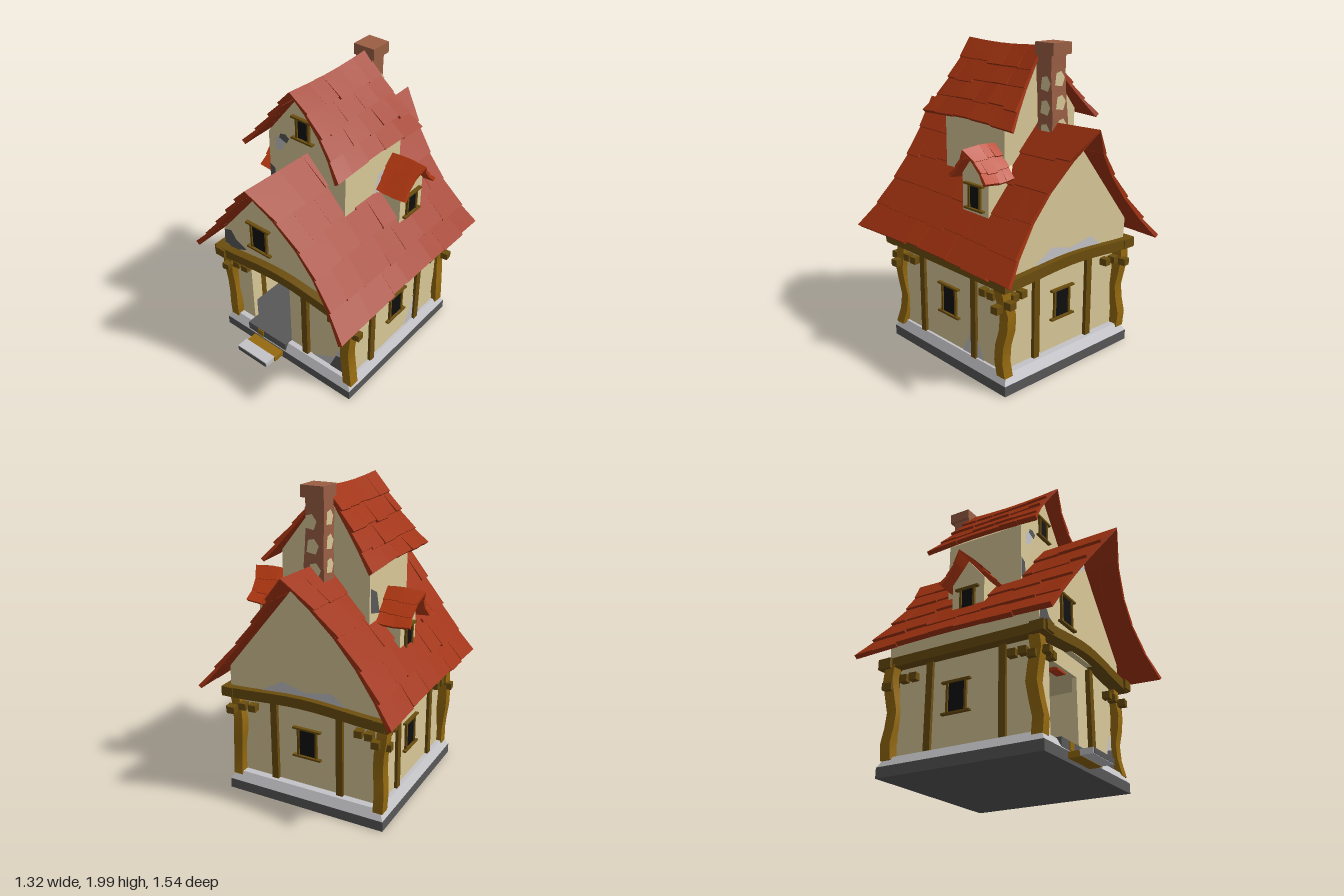
import * as THREE from 'three';
import { mergeGeometries } from 'three/addons/utils/BufferGeometryUtils.js';

const mat = (name, color) => new THREE.MeshStandardMaterial({ name, color });
const M = {
  plaster: mat('plaster', 0xd9c898), tile: mat('roofTile', 0xa03210), dormerTile: mat('dormerTile', 0xb83a12),
  beam: mat('darkTimber', 0x6c4e0e), post: mat('timber', 0x94690f), dark: mat('darkStone', 0x585858),
  light: mat('paleStone', 0xc4c4c8), glass: mat('windowDark', 0x0f0f10), brick: mat('brick', 0x9a5f44),
};

export function createModel() {
  const house = new THREE.Group();
  house.name = 'house';
  let seed = 7;
  const rnd = () => (seed = (seed * 16807) % 2147483647) / 2147483647;

  const add = (name, geo, m, x = 0, y = 0, z = 0, ry = 0, parent = house) => {
    const mesh = new THREE.Mesh(geo, m);
    mesh.name = name;
    mesh.position.set(x, y, z);
    mesh.rotation.y = ry;
    parent.add(mesh);
    return mesh;
  };
  const box = (name, m, w, h, d, x, y, z, ry = 0, parent = house) =>
    add(name, new THREE.BoxGeometry(w, h, d), m, x, y, z, ry, parent);
  const shape = (pts) => new THREE.Shape(pts.map(([x, y]) => new THREE.Vector2(x, y)));
  const prism = (s, depth) => new THREE.ExtrudeGeometry(s, { depth, bevelEnabled: false });
  // move every vertex of a geometry by a rule
  const bend = (geo, rule) => {
    const p = geo.attributes.position, v = new THREE.Vector3();
    for (let i = 0; i < p.count; i++) {
      rule(v.fromBufferAttribute(p, i));
      p.setXYZ(i, v.x, v.y, v.z);
    }
    geo.computeVertexNormals();
    return geo;
  };

  // curve through three values: ridge, middle and eave
  const quad = ([a, b, c], u) => a * (1 - u) * (1 - 2 * u) + 4 * b * u * (1 - u) + c * u * (2 * u - 1);

  // pitched roof of overlapping slabs, with its ridge along z
  const gableRoof = (name, m, o, parent = house) => {
    const parts = [], lift = o.lift ?? 0.022, slope = Math.hypot(o.w, o.ridge - o.eave);
    const nx = (o.ridge - o.eave) / slope, ny = o.w / slope;
    for (const s of [1, -1]) {
      const front = s > 0 ? o.front : o.frontLeft ?? o.front;
      for (let r = 0; r < o.rows; r++) {
        const cuts = [0];
        for (let c = 1; c < o.cols; c++) cuts.push((c + (r % 2 ? 0.25 : -0.25) + (rnd() - 0.5) * 0.4) / o.cols);
        cuts.push(1);
        for (let c = 0; c < o.cols; c++) {
          const last = r === o.rows - 1;
          const u0 = r / o.rows, u1 = (r + 1 + (last ? (rnd() - 0.5) * 0.08 : 0.05 + rnd() * 0.2)) / o.rows;
          const rise = lift * (0.6 + rnd() * 0.5);
          parts.push(bend(new THREE.BoxGeometry(1, 1, 1), (p) => {
            const low = s * p.x > 0, u = low ? u1 : u0;
            const v = p.z > 0 ? cuts[c + 1] : cuts[c];
            const off = p.y > 0 ? (low ? rise : 0.004) : -0.012;
            const zf = quad(front, u), zb = quad(o.back, u);
            const sag = o.sag * Math.sin(Math.PI * v);
            p.set(s * (o.w * u + nx * off * Math.min(1, u * 8)),
              o.ridge + (o.eave - o.ridge) * u + ny * off + sag * (2 * u - 1), zb + (zf - zb) * v);
          }));
        }
      }
    }
    return add(name, mergeGeometries(parts), m, o.x ?? 0, 0, 0, 0, parent);
  };

  // window facing +z: dark pane, jambs, lintel and sill
  const windowAt = (name, w, h, x, y, z, ry = 0, parent = house) => {
    const g = new THREE.Group();
    g.name = name;
    g.position.set(x, y, z);
    g.rotation.y = ry;
    parent.add(g);
    box('pane', M.glass, w, h, 0.008, 0, 0, 0.003, 0, g);
    for (const s of [1, -1]) {
      box('jamb', M.beam, 0.014, h, 0.02, s * w / 2, 0, 0.006, 0, g);
      box('rail', M.beam, w + 0.07, 0.012, 0.028, 0, s * h / 2, 0.01, 0, g);
    }
  };
  const patch = (m, pts, x, y, z, ry = 0, parent = house) =>
    add('barePatch', new THREE.ShapeGeometry(shape(pts)), m, x, y, z, ry, parent);
  const R = Math.PI / 2;

  // stone base with a sloping pale top
  box('base', M.dark, 1.09, 0.065, 1.1, -0.005, 0.04, -0.03);
  add('baseTop', bend(new THREE.BoxGeometry(1.09, 0.06, 1.1), (p) => {
    if (p.y > 0) { p.x *= 0.94; p.z *= 0.94; }
  }), M.light, -0.005, 0.1, -0.03);
  box('floor', M.dark, 0.94, 0.006, 0.94, -0.005, 0.132, -0.025);
  box('threshold', M.dark, 0.34, 0.06, 0.08, -0.18, 0.106, 0.475);
  box('thresholdPeg', M.post, 0.05, 0.05, 0.01, -0.235, 0.106, 0.516);
  box('step', M.light, 0.26, 0.035, 0.08, -0.17, 0.05, 0.635);
  box('stepFace', M.dark, 0.25, 0.03, 0.006, -0.17, 0.05, 0.676);
  box('stepSupport', M.post, 0.26, 0.035, 0.09, -0.16, 0.048, 0.555);

  // lower walls, the front one with an open doorway
  const front = shape([[-0.48, 0.12], [0.48, 0.12], [0.48, 0.72], [-0.48, 0.72]]);
  front.holes.push(new THREE.Path([[-0.35, 0.13], [-0.35, 0.6], [-0.01, 0.6], [-0.01, 0.13]].map((a) => new THREE.Vector2(...a))));
  add('frontWall', prism(front, 0.03), M.plaster, 0, 0, 0.42);
  box('backWall', M.plaster, 0.96, 0.6, 0.03, 0, 0.42, -0.485);
  for (const s of [1, -1]) box('sideWall', M.plaster, 0.03, 0.6, 0.92, s * 0.475, 0.42, -0.025);
  box('innerPost', M.beam, 0.045, 0.32, 0.03, -0.235, 0.44, -0.455);
  box('innerShelf', M.beam, 0.09, 0.015, 0.04, -0.06, 0.52, -0.45);
  box('doorHanging', M.dormerTile, 0.1, 0.02, 0.06, -0.16, 0.597, 0.4);

  // crooked corner posts with peg blocks
  for (const sx of [1, -1]) for (const z of [0.46, -0.52]) {
    const sz = Math.sign(z), ph = sx + z * 3;
    add('cornerPost', bend(new THREE.BoxGeometry(0.065, 0.58, 0.07, 1, 6, 1), (p) => {
      const t = p.y / 0.58 + 0.5;
      p.x += 0.012 * Math.sin(t * 8 + ph) + (sx < 0 ? -0.02 * t : -0.02 * Math.sin(Math.PI * t));
      p.z += 0.012 * Math.sin(t * 9 + ph);
    }), M.post, sx * 0.5, 0.4, z);
    for (const [x, y, dz] of [[0.55, 0.55, 0], [0.51, 0.6, -0.08], [0.51, 0.6, -0.15], [0.44, 0.6, 0.02], [0.37, 0.6, 0.015], [0.5, 0.58, 0.06]])
      box('pegBlock', M.beam, 0.05, 0.045, 0.05, sx * x, y, z + sz * dz, 0.1);
  }
  box('frontPost', M.beam, 0.045, 0.58, 0.05, 0.135, 0.4, 0.455);
  for (const s of [1, -1]) box('backPost', M.beam, 0.045, 0.57, 0.05, s * 0.23, 0.4, -0.5);
  for (const s of [1, -1]) for (const z of [0.24, -0.26]) box('sidePost', M.beam, 0.05, 0.57, 0.045, s * 0.485, 0.4, z);

  // ring beam, bowed upwards at the front and back
  for (const [z, bow] of [[0.5, 0.05], [-0.55, 0.03]])
    add('gableBeam', bend(new THREE.BoxGeometry(1.14, 0.065, 0.09, 12, 1, 1), (p) => {
      p.y += bow * Math.cos(p.x * 2.75) ** 2;
    }), M.beam, -0.01, 0.7, z);
  for (const s of [1, -1]) box('sideBeam', M.beam, 0.08, 0.06, 1.16, s * 0.52, 0.703, -0.02);

  // attic and upper storey
  const attic = shape([[-0.52, 0.71], [0.52, 0.71], [0.52, 0.86], [-0.01, 1.5], [-0.53, 0.86]]);
  add('attic', prism(attic, 1.04), M.plaster, 0, 0, -0.55);
  const upper = shape([[-0.31, 1.1], [0.28, 1.1], [0.28, 1.57], [-0.015, 1.94], [-0.31, 1.57]]);
  add('upperStorey', prism(upper, 0.54), M.plaster, 0, 0, -0.29);

  gableRoof('mainRoof', M.tile, {
    w: 0.64, ridge: 1.545, eave: 0.755, x: -0.005, rows: 5, cols: 7, sag: 0.015,
    front: [0.77, 0.665, 0.74], frontLeft: [0.77, 0.665, 0.63], back: [-0.77, -0.64, -0.72],
  });
  gableRoof('upperRoof', M.tile, {
    w: 0.355, ridge: 1.975, eave: 1.53, x: -0.02, rows: 4, cols: 5, sag: 0.015,
    front: [0.37, 0.34, 0.4], back: [-0.3, -0.34, -0.42],
  });

  // side dormers
  for (const [s, z, y, reach] of [[1, -0.21, 0, 0], [-1, -0.04, -0.07, 0.03]]) {
    const d = new THREE.Group();
    d.name = s > 0 ? 'leftDormer' : 'rightDormer';
    d.position.set(0, y, z);
    d.rotation.y = s * R;
    house.add(d);
    const face = 0.435 + reach / 2;
    add('dormerWall', prism(shape([[-0.115, 1], [0.115, 1], [0.115, 1.25], [0, 1.39], [-0.115, 1.25]]), face - 0.2),
      M.plaster, 0, 0, 0.2, 0, d);
    gableRoof('dormerRoof', M.dormerTile, {
      w: 0.155, ridge: 1.42, eave: 1.235, rows: 3, cols: 3, sag: -0.01, lift: 0.016,
      front: [0.53 + reach, 0.49 + reach, 0.5 + reach], back: [0.27, 0.27, 0.28],
    }, d);
    windowAt('dormerWindow', 0.095, 0.15, 0, 1.125, face, 0, d);
  }

  // windows
  windowAt('gableWindow', 0.125, 0.19, -0.205, 0.94, 0.49);
  windowAt('upperWindow', 0.09, 0.14, -0.03, 1.68, 0.25);
  windowAt('leftWindow', 0.125, 0.19, 0.49, 0.425, -0.02, R);
  windowAt('rightWindow', 0.125, 0.19, -0.49, 0.425, -0.07, -R);
  windowAt('backWindow', 0.125, 0.19, 0, 0.425, -0.5, Math.PI);

  // chimney with plaster patches
  add('chimney', bend(new THREE.BoxGeometry(0.12, 0.55, 0.12, 1, 4, 1), (p) => {
    p.z += 0.012 * Math.sin(p.y * 9);
    if (p.y < -0.1) p.x *= 1.1;
  }), M.brick, -0.025, 1.68, -0.37);
  box('chimneyCap', M.brick, 0.15, 0.07, 0.15, -0.025, 1.965, -0.375);
  for (const [i, y] of [1.52, 1.66, 1.8].entries()) {
    const pts = [[-0.04, -0.04], [0.02, -0.05], [0.04, 0], [0.01, 0.04], [-0.03, 0.03]];
    patch(M.plaster, pts, -0.035 + i * 0.012, y, -0.446, Math.PI);
    patch(M.plaster, pts, 0.044, y - 0.03, -0.385, R);
    patch(M.plaster, pts, -0.094, y + 0.02, -0.37, -R);
  }

  // bare stone where plaster has fallen
  patch(M.light, [[0.18, 0.13], [0.46, 0.13], [0.46, 0.39], [0.41, 0.33], [0.36, 0.22]], 0, 0, 0.453);
  patch(M.dark, [[0.33, 0.13], [0.46, 0.13], [0.46, 0.27], [0.38, 0.25]], 0, 0, 0.456);
  patch(M.dark, [[-0.53, 0.75], [-0.44, 0.73], [-0.33, 0.78], [-0.42, 0.82], [-0.46, 0.88], [-0.52, 0.86]], 0, 0, 0.494);
  patch(M.light, [[-0.18, 1.27], [-0.05, 1.28], [0.08, 1.36], [0.08, 1.39], [-0.01, 1.495]], 0, 0, 0.494);
  patch(M.dark, [[-0.09, 1.39], [0.04, 1.42], [-0.01, 1.495]], 0, 0, 0.497);
  patch(M.light, [[-0.25, 1.46], [-0.2, 1.48], [-0.17, 1.56], [-0.21, 1.58], [-0.25, 1.54]], 0, 0, 0.254);
  patch(M.dark, [[-0.22, 1.56], [-0.16, 1.54], [-0.14, 1.58], [-0.17, 1.6], [-0.21, 1.59]], 0, 0, 0.257);
  patch(M.dark, [[-0.31, 1.2], [-0.26, 1.24], [-0.27, 1.32], [-0.31, 1.34]], 0, 0, 0.254);
  patch(M.light, [[0.14, 0.13], [0.34, 0.13], [0.28, 0.25], [0.24, 0.36], [0.2, 0.24]], 0.494, 0, 0, R);
  patch(M.light, [[0.03, 1.2], [0.12, 1.2], [0.12, 1.35], [0.06, 1.33]], 0.284, 0, 0, R);
  patch(M.dark, [[-0.28, 1.25], [-0.16, 1.22], [-0.2, 1.36], [-0.28, 1.4]], -0.314, 0, 0, -R);
  patch(M.light, [[-0.3, 0.74], [0.3, 0.74], [0.2, 0.82], [0.02, 0.79], [-0.14, 0.83]], 0, 0, -0.554, Math.PI);

  return house;
}
